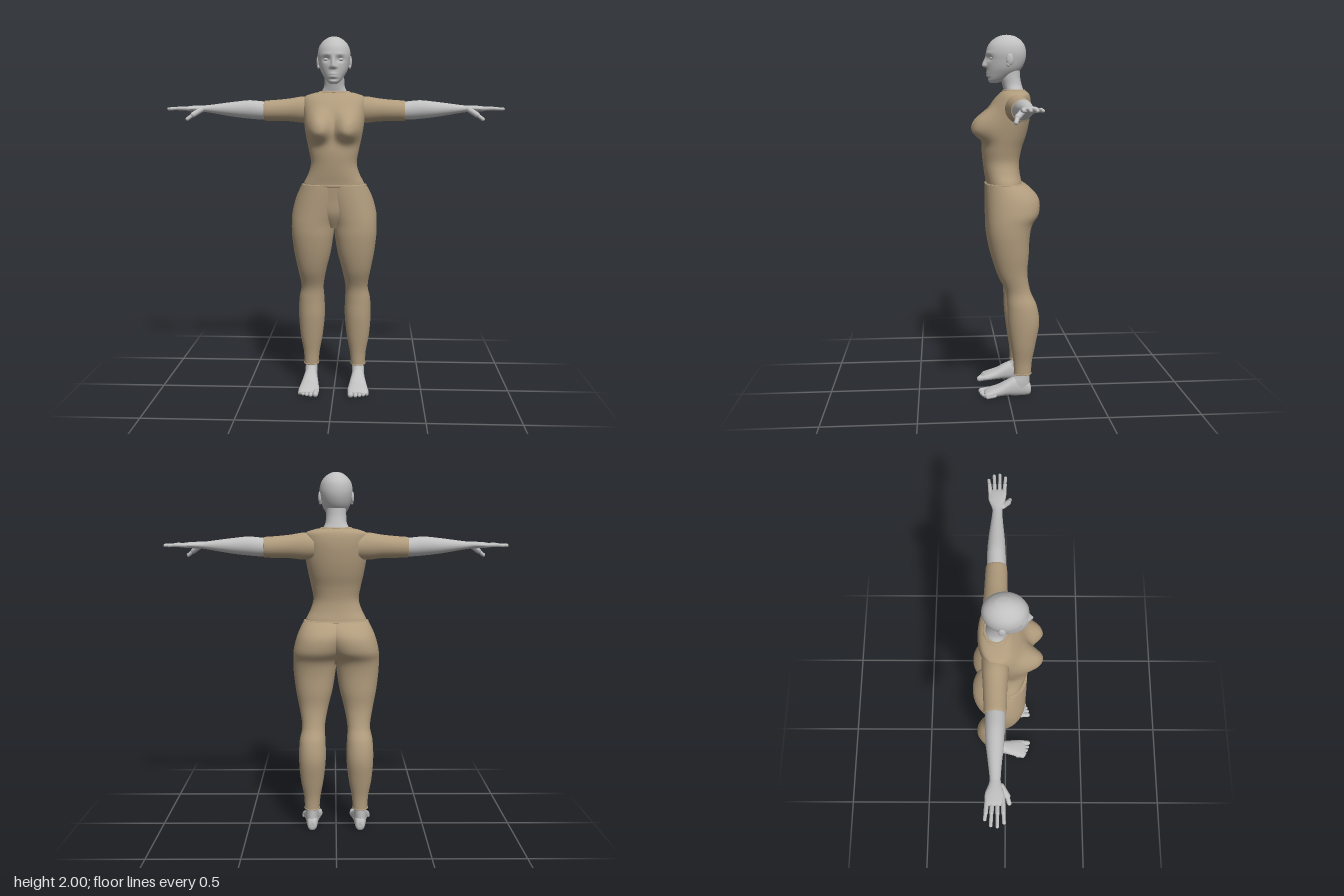
import * as THREE from 'three';
import { mergeGeometries } from 'three/addons/utils/BufferGeometryUtils.js';

const skin = new THREE.MeshStandardMaterial({ color: 0xc0c0c0 });
skin.name = 'pale grey skin';
const cloth = new THREE.MeshStandardMaterial({ color: 0xb19c7d });
cloth.name = 'tan cloth';

// Smooth interpolation through the rows of a ring table
function sampleRings(rings, u) {
  const n = rings.length - 1;
  const i = Math.min(Math.floor(u * n), n - 1);
  const f = u * n - i;
  const row = (k) => rings[Math.max(0, Math.min(n, k))];
  return rings[0].map((_, c) => {
    const [p0, p1, p2, p3] = [row(i - 1)[c], row(i)[c], row(i + 1)[c], row(i + 2)[c]];
    const m1 = (p2 - p0) / 2, m2 = (p3 - p1) / 2, f2 = f * f, f3 = f2 * f;
    return (2 * f3 - 3 * f2 + 1) * p1 + (f3 - 2 * f2 + f) * m1 + (3 * f2 - 2 * f3) * p2 + (f3 - f2) * m2;
  });
}

// Skin over oval rings [t, aMin, aMax, bMin, bMax]; (t, a, b) is a cyclic turn of (x, y, z)
function loft(axis, rings, { segs = 40, div = 6, power = 2, shape } = {}) {
  const pos = [], index = [], steps = (rings.length - 1) * div;
  const oval = (v) => Math.sign(v) * Math.abs(v) ** (2 / power);
  const put = (t, a, b) => {
    const p = axis === 'y' ? [b, t, a] : axis === 'x' ? [t, a, b] : [a, b, t];
    const v = new THREE.Vector3(...p);
    if (shape) shape(v);
    pos.push(v.x, v.y, v.z);
  };
  const ring = (r) => {
    for (let j = 0; j < segs; j++) {
      const w = (j / segs) * Math.PI * 2;
      put(r[0], (r[1] + r[2]) / 2 + ((r[2] - r[1]) / 2) * oval(Math.cos(w)),
        (r[3] + r[4]) / 2 + ((r[4] - r[3]) / 2) * oval(Math.sin(w)));
    }
  };
  for (let i = 0; i <= steps; i++) ring(sampleRings(rings, i / steps));
  for (let i = 0; i < steps; i++) {
    for (let j = 0; j < segs; j++) {
      const k = (j + 1) % segs, a = i * segs, b = a + segs;
      index.push(a + j, a + k, b + k, a + j, b + k, b + j);
    }
  }
  // End caps with their own corners so that the rims stay crisp
  for (const end of [0, 1]) {
    const r = rings[end ? rings.length - 1 : 0], base = pos.length / 3;
    ring(r);
    put(r[0], (r[1] + r[2]) / 2, (r[3] + r[4]) / 2);
    for (let j = 0; j < segs; j++) {
      const k = (j + 1) % segs;
      index.push(base + segs, base + (end ? j : k), base + (end ? k : j));
    }
  }
  const geo = new THREE.BufferGeometry();
  geo.setAttribute('position', new THREE.Float32BufferAttribute(pos, 3));
  geo.setIndex(index);
  geo.computeVertexNormals();
  return geo;
}

// Rounded rod between two points
function rod(a, b, r) {
  const p = new THREE.Vector3(...a), q = new THREE.Vector3(...b), d = q.clone().sub(p);
  const turn = new THREE.Quaternion().setFromUnitVectors(new THREE.Vector3(0, 1, 0), d.clone().normalize());
  const mid = p.add(q).multiplyScalar(0.5);
  return new THREE.CapsuleGeometry(r, d.length(), 6, 14).applyQuaternion(turn).translate(mid.x, mid.y, mid.z);
}

const blob = (x, y, z, rx, ry, rz) => new THREE.SphereGeometry(1, 24, 16).scale(rx, ry, rz).translate(x, y, z);

// Thin rounded hem around an oval opening in the plane across y
const hem = (y, z0, z1, x0, x1, r = 0.005) => loft('y', [
  [y - r, z0, z1, x0, x1], [y - r * 0.6, z0 - r, z1 + r, x0 - r, x1 + r],
  [y + r * 0.6, z0 - r, z1 + r, x0 - r, x1 + r], [y + r, z0, z1, x0, x1]], { div: 2, segs: 48 });

const bell = (d, w) => Math.exp(-((d / w) ** 2));

// Bust swelling on the chest, fuller below than above
function shapeChest(v) {
  if (v.z <= 0) return;
  const dy = v.y - 1.5, ry = dy > 0 ? 0.085 : 0.066;
  const r2 = ((Math.abs(v.x) - 0.085) / 0.07) ** 2 + (dy / ry) ** 2;
  v.z += 0.082 * Math.exp(-(r2 ** 1.4)) * THREE.MathUtils.smoothstep(v.z, 0, 0.06);
}

// Nose, eye sockets, brows, lips and chin
function shapeFace(v) {
  if (v.z < 0.03) return;
  const ax = Math.abs(v.x), { y } = v;
  const bridge = THREE.MathUtils.smoothstep(y, 1.818, 1.833) * (1 - THREE.MathUtils.smoothstep(y, 1.835, 1.9));
  let d = 0.025 * bridge * bell(v.x, 0.009 + 0.007 * bell(y - 1.83, 0.015));
  d -= 0.014 * bell(ax - 0.036, 0.02) * bell(y - 1.873, 0.015);
  d += 0.004 * bell(ax - 0.036, 0.025) * bell(y - 1.9, 0.009);
  d += bell(v.x, 0.022) * (0.008 * bell(y - 1.787, 0.013) - 0.006 * bell(y - 1.788, 0.003));
  d -= 0.006 * bell(v.x, 0.025) * bell(y - 1.767, 0.006);
  v.z += d;
}

export function createModel() {
  const model = new THREE.Group();
  const add = (name, geo, mat) => {
    const mesh = new THREE.Mesh(geo, mat);
    mesh.name = name;
    model.add(mesh);
  };
  // Adds the +x part and its mirror image with the faces turned back outwards
  const pair = (name, geo, mat) => {
    add(name + 'Left', geo, mat);
    const other = geo.clone().scale(-1, 1, 1), ix = other.index.array;
    for (let i = 0; i < ix.length; i += 3) [ix[i], ix[i + 1]] = [ix[i + 1], ix[i]];
    add(name + 'Right', other, mat);
  };

  // Head and neck
  add('head', loft('y', [
    [1.742, 0.045, 0.088, -0.018, 0.018], [1.758, 0.0, 0.1, -0.038, 0.038], [1.79, -0.055, 0.104, -0.06, 0.06],
    [1.82, -0.085, 0.106, -0.075, 0.075], [1.86, -0.104, 0.108, -0.085, 0.085], [1.9, -0.11, 0.11, -0.09, 0.09],
    [1.94, -0.103, 0.1, -0.083, 0.083], [1.97, -0.082, 0.076, -0.064, 0.064], [1.99, -0.053, 0.045, -0.038, 0.038],
    [1.997, -0.03, 0.022, -0.02, 0.02], [2, -0.005, 0, -0.003, 0.003],
  ], { segs: 96, div: 8, shape: shapeFace }), skin);
  add('neck', loft('y', [
    [1.67, -0.1, 0.012, -0.085, 0.085], [1.7, -0.096, 0.012, -0.072, 0.072], [1.73, -0.087, 0.02, -0.058, 0.058],
    [1.77, -0.078, 0.03, -0.055, 0.055], [1.82, -0.075, 0.03, -0.055, 0.055],
  ]), skin);
  pair('ear', mergeGeometries([
    blob(0.088, 1.865, -0.014, 0.01, 0.032, 0.019), blob(0.086, 1.838, -0.006, 0.008, 0.013, 0.01),
  ]), skin);
  pair('eyelid', blob(0.036, 1.872, 0.077, 0.019, 0.01, 0.016), skin);

  // Shirt
  add('shirtBody', loft('y', [
    [1.17, -0.088, 0.112, -0.172, 0.172], [1.2, -0.085, 0.113, -0.168, 0.168], [1.25, -0.075, 0.122, -0.143, 0.143],
    [1.31, -0.072, 0.13, -0.127, 0.127], [1.38, -0.085, 0.135, -0.138, 0.138], [1.45, -0.108, 0.128, -0.153, 0.153],
    [1.52, -0.125, 0.115, -0.165, 0.165], [1.59, -0.135, 0.1, -0.172, 0.172], [1.64, -0.135, 0.075, -0.174, 0.174],
    [1.675, -0.128, 0.045, -0.165, 0.165], [1.693, -0.115, 0.025, -0.12, 0.12], [1.7, -0.1, 0.012, -0.085, 0.085],
  ], { segs: 80, div: 7, power: 2.15, shape: shapeChest }), cloth);
  add('collar', hem(1.698, -0.1, 0.014, -0.08, 0.08, 0.007), cloth);
  pair('sleeve', loft('x', [
    [0.12, 1.53, 1.672, -0.115, 0.02], [0.18, 1.53, 1.676, -0.113, 0.018], [0.25, 1.538, 1.665, -0.108, 0.012],
    [0.33, 1.54, 1.657, -0.104, 0.01], [0.385, 1.541, 1.653, -0.101, 0.008], [0.392, 1.546, 1.648, -0.096, 0.003],
  ]), cloth);

  // Arms and hands
  pair('forearm', loft('x', [
    [0.37, 1.548, 1.645, -0.094, 0.002], [0.42, 1.548, 1.651, -0.095, 0.002], [0.48, 1.553, 1.655, -0.094, 0],
    [0.56, 1.562, 1.647, -0.088, -0.005], [0.64, 1.575, 1.637, -0.078, -0.013], [0.71, 1.587, 1.628, -0.07, -0.018],
    [0.74, 1.59, 1.627, -0.075, -0.014], [0.78, 1.592, 1.626, -0.09, -0.002], [0.82, 1.594, 1.622, -0.091, 0.003],
    [0.838, 1.6, 1.617, -0.084, -0.005],
  ]), skin);
  const fingers = [[-0.081, -0.09, 0.9], [-0.057, -0.062, 0.927], [-0.032, -0.032, 0.932], [-0.008, -0.002, 0.915]];
  pair('fingers', mergeGeometries(fingers.flatMap(([z0, z1, tip]) => [
    rod([0.81, 1.608, z0], [0.87, 1.61, (z0 + z1) / 2], 0.0105), rod([0.865, 1.61, (z0 + z1) / 2], [tip, 1.607, z1], 0.0085),
  ])), skin);
  pair('thumb', mergeGeometries([
    rod([0.745, 1.602, -0.016], [0.785, 1.575, 0.012], 0.015), rod([0.785, 1.575, 0.012], [0.815, 1.552, 0.022], 0.0105),
  ]), skin);

  // Trousers: two legs that merge at the hips
  pair('trouserLeg', loft('y', [
    [0.125, -0.13, -0.035, 0.095, 0.178], [0.2, -0.135, -0.03, 0.088, 0.182], [0.3, -0.155, -0.015, 0.07, 0.2],
    [0.42, -0.175, 0, 0.058, 0.209], [0.52, -0.16, 0.004, 0.06, 0.205], [0.6, -0.125, 0.014, 0.063, 0.191],
    [0.7, -0.108, 0.06, 0.045, 0.207], [0.8, -0.115, 0.09, 0.02, 0.226], [0.9, -0.12, 0.108, 0.004, 0.238],
    [0.97, -0.135, 0.112, -0.006, 0.24], [1.03, -0.172, 0.114, -0.035, 0.237], [1.1, -0.177, 0.116, -0.06, 0.22],
    [1.15, -0.15, 0.117, -0.07, 0.2], [1.19, -0.1, 0.117, -0.075, 0.179],
  ], { segs: 56, power: 2.1 }), cloth);
  add('trouserSeat', loft('y', [
    [0.95, -0.06, 0.06, -0.05, 0.05], [1.03, -0.12, 0.1, -0.13, 0.13],
    [1.12, -0.135, 0.11, -0.17, 0.17], [1.19, -0.095, 0.117, -0.176, 0.176],
  ], { segs: 56 }), cloth);
  add('waistband', hem(1.189, -0.095, 0.116, -0.176, 0.176), cloth);
  pair('trouserCuff', hem(0.128, -0.129, -0.036, 0.096, 0.177, 0.004), cloth);

  // Feet
  pair('ankle', loft('y', [
    [0.03, -0.122, 0.0, 0.105, 0.17], [0.08, -0.122, -0.012, 0.102, 0.173],
    [0.12, -0.122, -0.042, 0.103, 0.17], [0.16, -0.122, -0.045, 0.103, 0.17],
  ]), skin);
  pair('foot', loft('z', [
    [-0.13, 0.122, 0.15, 0.022, 0.05], [-0.12, 0.11, 0.162, 0.004, 0.075], [-0.08, 0.103, 0.17, 0, 0.1],
    [-0.04, 0.1, 0.175, 0, 0.108], [0, 0.094, 0.18, 0.003, 0.092], [0.05, 0.086, 0.19, 0.002, 0.064],
    [0.1, 0.08, 0.198, 0, 0.045], [0.125, 0.084, 0.196, 0.002, 0.034], [0.135, 0.095, 0.185, 0.008, 0.024],
  ], { power: 2.3 }), skin);
  const toes = [[0.097, 0.149, 0.016], [0.124, 0.147, 0.012], [0.147, 0.14, 0.011], [0.168, 0.13, 0.011], [0.188, 0.117, 0.011]];
  pair('toes', mergeGeometries(toes.map(([x, tip, r]) => rod([x, r + 0.006, tip - 0.04], [x + 0.002, r, tip], r))), skin);

  return model;
}
